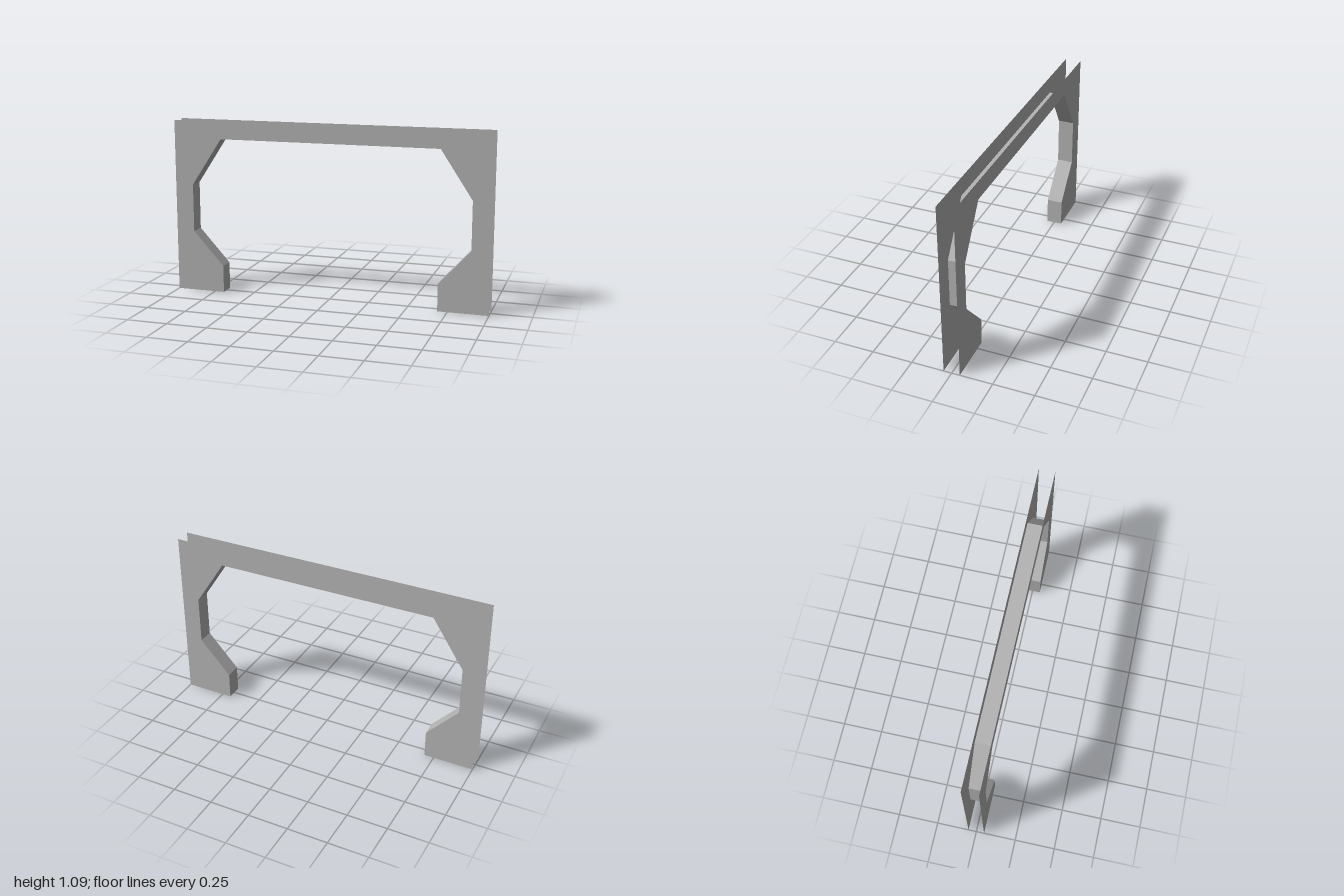
import * as THREE from 'three';

const DEPTH = 0.1, HALF_WIDTH = 1, HEIGHT = 1.09;

// Opening outline on the +x side, from the foot up to the lintel
const half = [[0.69, 0], [0.69, 0.17], [0.885, 0.385], [0.885, 0.685], [0.69, 0.98]];
const opening = [...half, ...half.map(([x, y]) => [-x, y]).reverse()];

export function createModel() {
  const group = new THREE.Group();
  group.name = 'archFrame';
  const grey = new THREE.MeshStandardMaterial({ color: 0xb4b4b4, side: THREE.DoubleSide });
  grey.name = 'plain grey';

  const add = (geometry, name, parent = group) => {
    const mesh = new THREE.Mesh(geometry, grey);
    mesh.name = name;
    parent.add(mesh);
    return mesh;
  };

  // Front and back facing panels
  const outline = [...opening, [-HALF_WIDTH, 0], [-HALF_WIDTH, HEIGHT], [HALF_WIDTH, HEIGHT], [HALF_WIDTH, 0]];
  const panel = new THREE.ShapeGeometry(new THREE.Shape(outline.map(([x, y]) => new THREE.Vector2(x, y))));
  add(panel, 'frontPanel').position.z = DEPTH / 2;
  const back = add(panel, 'backPanel');
  back.rotation.y = Math.PI;
  back.position.z = -DEPTH / 2;

  // Lining strips around the opening; the outer rim stays open
  const lining = new THREE.Group();
  lining.name = 'openingLining';
  group.add(lining);
  for (let i = 0; i < opening.length - 1; i++) {
    const [x0, y0] = opening[i], [x1, y1] = opening[i + 1];
    const strip = new THREE.PlaneGeometry(Math.hypot(x1 - x0, y1 - y0), DEPTH)
      .rotateX(-Math.PI / 2)
      .rotateZ(Math.atan2(y1 - y0, x1 - x0))
      .translate((x0 + x1) / 2, (y0 + y1) / 2, 0);
    add(strip, `liningStrip${i + 1}`, lining);
  }

  return group;
}
